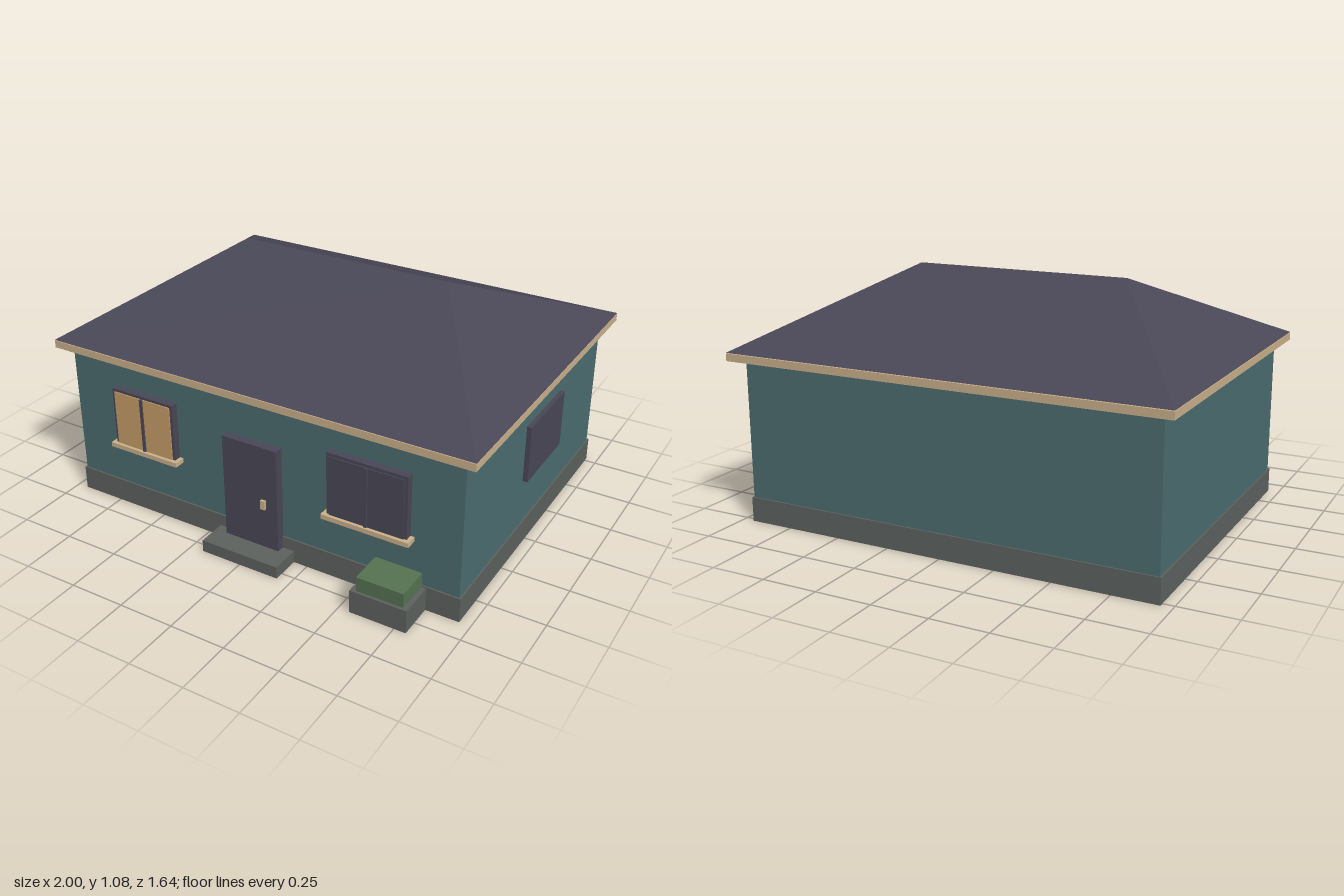
import * as THREE from 'three';

const mat = (name, color) => {
  const m = new THREE.MeshStandardMaterial({ color });
  m.name = name;
  return m;
};

export function createModel() {
  const house = new THREE.Group();
  house.name = 'house';

  const teal = mat('teal wall', 0x4c6d70);
  const slate = mat('dark slate', 0x494756);
  const stone = mat('grey stone', 0x5d625f);
  const cream = mat('cream trim', 0xcbb18b);
  const amber = mat('amber glass', 0xc69d68);
  const green = mat('leaf green', 0x567352);

  // Box given by its limits on each axis
  const box = (name, material, [x0, x1], [y0, y1], [z0, z1], parent = house) => {
    const mesh = new THREE.Mesh(new THREE.BoxGeometry(x1 - x0, y1 - y0, z1 - z0), material);
    mesh.position.set((x0 + x1) / 2, (y0 + y1) / 2, (z0 + z1) / 2);
    mesh.name = name;
    parent.add(mesh);
    return mesh;
  };

  // Body
  box('plinth', stone, [-0.95, 0.95], [0, 0.11], [-0.77, 0.657]);
  box('walls', teal, [-0.943, 0.943], [0.05, 0.74], [-0.763, 0.65]);
  box('fascia', cream, [-1, 1], [0.725, 0.758], [-0.822, 0.702]);

  // Hipped roof: four eave corners and two ridge ends
  const eave = 0.761, ridge = 1.08, zf = 0.702, zb = -0.822, zr = -0.06;
  const a = [-1, eave, zf], b = [1, eave, zf], c = [1, eave, zb], d = [-1, eave, zb];
  const l = [-0.5, ridge, zr], r = [0.5, ridge, zr];
  const faces = [a, b, r, a, r, l, b, c, r, c, d, l, c, l, r, d, a, l, a, d, c, a, c, b];
  const roofGeo = new THREE.BufferGeometry();
  roofGeo.setAttribute('position', new THREE.Float32BufferAttribute(faces.flat(), 3));
  roofGeo.computeVertexNormals();
  const roof = new THREE.Mesh(roofGeo, slate);
  roof.name = 'roof';
  house.add(roof);

  // Front windows: frame, two panes, mullion and sill
  const frontWindow = (name, cx, half, top, paneTop, sillTop, glass) => {
    const g = new THREE.Group();
    g.name = name;
    house.add(g);
    box('frame', slate, [cx - half, cx + half], [0.305, top], [0.64, 0.683], g);
    for (const s of [-1, 1]) {
      const xs = [cx + s * 0.007, cx + s * (half - 0.013)].sort((p, q) => p - q);
      box('pane', glass, xs, [0.32, paneTop], [0.68, 0.688], g);
    }
    box('mullion', slate, [cx - 0.007, cx + 0.007], [0.32, paneTop], [0.68, 0.694], g);
    box('sill', cream, [cx - half - 0.017, cx + half + 0.017], [sillTop - 0.021, sillTop], [0.65, 0.702], g);
  };
  frontWindow('leftFrontWindow', 0.543, 0.18, 0.604, 0.59, 0.322, slate);
  frontWindow('rightFrontWindow', -0.552, 0.16, 0.594, 0.582, 0.33, amber);

  // Side window
  box('sideWindow', slate, [0.93, 0.964], [0.325, 0.585], [-0.3, 0.067]);

  // Door, handle and step
  box('door', slate, [-0.132, 0.132], [0.055, 0.535], [0.64, 0.691]);
  box('doorHandle', cream, [0.055, 0.077], [0.246, 0.288], [0.685, 0.702]);
  box('doorStep', stone, [-0.187, 0.187], [0, 0.055], [0.64, 0.789]);

  // Planter with clipped hedge
  box('planter', stone, [0.55, 0.802], [0, 0.105], [0.64, 0.822]);
  box('hedge', green, [0.573, 0.782], [0.1, 0.17], [0.655, 0.81]);

  return house;
}
